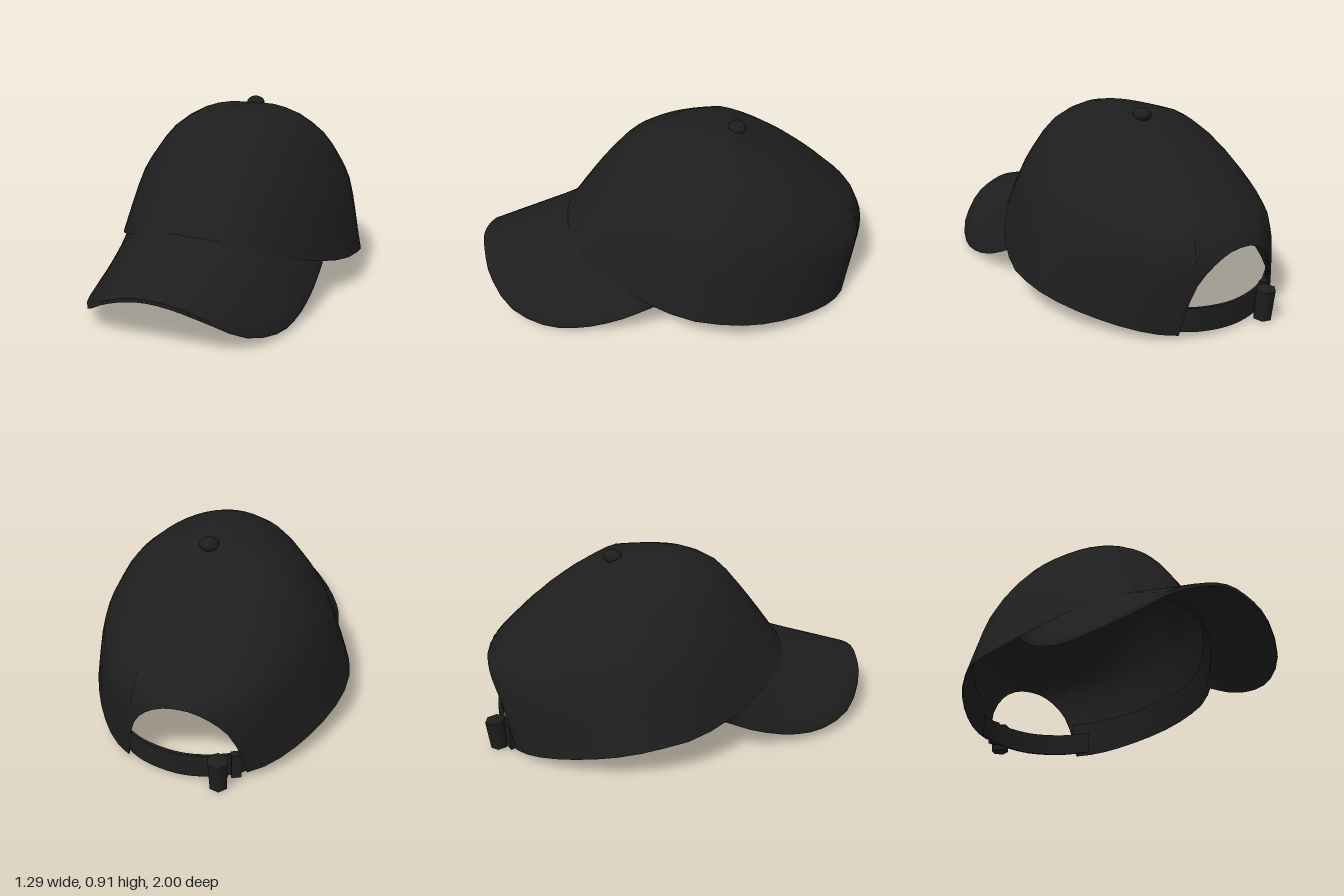
import * as THREE from 'three';
import { mergeVertices, toCreasedNormals } from 'three/addons/utils/BufferGeometryUtils.js';

const { lerp } = THREE.MathUtils;
const PI = Math.PI;

// Surface from a rule fn(i, j) -> [x, y, z]
function grid(nu, nv, fn, crease) {
  const pos = [], idx = [];
  for (let j = 0; j <= nv; j++) {
    for (let i = 0; i <= nu; i++) {
      pos.push(...fn(i, j));
      if (i < nu && j < nv) {
        const a = j * (nu + 1) + i, b = a + 1, c = a + nu + 1, d = c + 1;
        idx.push(a, b, d, a, d, c);
      }
    }
  }
  let geo = new THREE.BufferGeometry();
  geo.setAttribute('position', new THREE.Float32BufferAttribute(pos, 3));
  geo.setIndex(idx);
  geo = mergeVertices(geo);
  if (crease) return toCreasedNormals(geo, crease);
  geo.computeVertexNormals();
  return geo;
}

const curve = (pts) => new THREE.CatmullRomCurve3(pts.map((p) => new THREE.Vector3(...p)));

// Crown profiles from rim to apex
const front = curve([[0, 0.375, 0.56], [0, 0.475, 0.49], [0, 0.6, 0.4], [0, 0.71, 0.315],
  [0, 0.8, 0.235], [0, 0.875, 0.09], [0, 0.897, -0.06], [0, 0.88, -0.28]]);
const side = curve([[0.648, 0.163, -0.22], [0.6, 0.335, -0.22], [0.545, 0.515, -0.23], [0.48, 0.63, -0.24],
  [0.385, 0.76, -0.25], [0.255, 0.848, -0.26], [0.12, 0.882, -0.27], [0, 0.88, -0.28]]);
const back = curve([[0, 0.02, -0.91], [0, 0.25, -0.945], [0, 0.41, -0.955], [0, 0.55, -0.835],
  [0, 0.66, -0.7], [0, 0.745, -0.57], [0, 0.815, -0.43], [0, 0.88, -0.28]]);

// Point on the crown: angle from the front towards +x, t from rim to apex
function crownPoint(angle, t) {
  const s = side.getPoint(t), c = Math.cos(angle), sn = Math.sin(angle);
  const end = (c > 0 ? front : back).getPoint(t), k = Math.abs(c);
  const boxy = c > 0 ? lerp(1.9, 0.9, k) : lerp(1.7, 0.75, k);
  const power = lerp(boxy, 1, Math.min(1, t * 1.6));
  const x = Math.sign(sn) * s.x * Math.pow(Math.abs(sn), power);
  const y = lerp(s.y, end.y, c > 0 ? k * k : k) - 0.027 * x * (1 - t);
  return [x + 0.05 * Math.max(0, y - 0.1), y, lerp(s.z, end.z, k)];
}

export function createModel() {
  const group = new THREE.Group();
  const fabric = new THREE.MeshStandardMaterial({ color: 0x1e1e1e, side: THREE.DoubleSide });
  fabric.name = 'blackFabric';
  const add = (name, geo) => {
    const mesh = new THREE.Mesh(geo, fabric);
    mesh.name = name;
    group.add(mesh);
    return mesh;
  };

  // Crown with an arched opening at the back
  const half = 0.37, around = 36, arch = 16, rows = 14;
  const columns = [];
  for (let i = 0; i <= around; i++) columns.push([lerp(half - PI, PI - half, i / around), 0]);
  for (let k = 1; k <= arch; k++) {
    const a = PI * k / arch;
    columns.push([PI - half * Math.cos(a), 0.28 * Math.sin(a)]);
  }
  add('crown', grid(columns.length - 1, rows, (i, j) => {
    const [angle, start] = columns[i];
    return crownPoint(angle, lerp(start, 1, j / rows));
  }));

  // Sweatband inside the rim
  add('sweatband', grid(around, 2, (i, j) => {
    const [x, y, z] = crownPoint(columns[i][0], j * 0.06);
    const inset = j === 0 ? 0.995 : 0.975;
    return [x * inset, y, -0.2 + (z + 0.2) * inset];
  }));

  // Curved brim, tucked into the crown: top, outer edge and underside
  const halfEdge = [[0.525, 0.185, 0.12], [0.525, 0.115, 0.29], [0.51, 0.065, 0.48], [0.475, 0.052, 0.66],
    [0.38, 0.09, 0.84], [0.235, 0.18, 0.95], [0.115, 0.225, 0.985]];
  const edge = curve([...halfEdge, [0, 0.243, 1],
    ...halfEdge.slice().reverse().map(([x, y, z]) => [-x, y, z])]);
  const nu = 32, nv = 6;
  add('brim', grid(nu, nv * 2 + 1, (i, j) => {
    const u = i / nu, under = j > nv;
    const v = (under ? 2 * nv + 1 - j : j) / nv;
    const p = crownPoint(lerp(1.12, -1.12, u), 0.02), e = edge.getPoint(u);
    const thick = under ? 0.018 * Math.min(1, 8 * u * (1 - u)) : 0;
    return [lerp(p[0] * 0.975, e.x + 0.018, v), lerp(p[1], e.y - 0.025 * e.x, v) - thick,
      lerp(p[2] - 0.012, e.z, v)];
  }, 1));

  // Button on top
  const button = add('button', new THREE.SphereGeometry(1, 14, 8));
  button.scale.set(0.047, 0.034, 0.047);
  button.position.set(0.042, 0.878, -0.305);

  // Adjustment strap across the opening
  const strapPath = curve([[-0.33, 0.1, -0.81], [-0.2, 0.085, -0.885], [0, 0.075, -0.92],
    [0.2, 0.085, -0.885], [0.33, 0.1, -0.81]]);
  const section = [[0.058, -0.008], [-0.058, -0.008], [-0.058, 0.008], [0.058, 0.008], [0.058, -0.008]];
  add('strap', grid(20, 4, (i, j) => {
    const p = strapPath.getPoint(i / 20), [dy, dz] = section[j];
    return [p.x, p.y + dy, p.z + dz];
  }, 0.8));

  // Buckle and strap keeper
  const buckle = add('buckle', new THREE.CylinderGeometry(0.05, 0.045, 0.15, 6));
  buckle.position.set(-0.17, 0.078, -0.945);
  buckle.rotation.set(-0.08, 0.25, 0);
  const keeper = add('keeper', new THREE.BoxGeometry(0.045, 0.125, 0.035));
  keeper.position.set(-0.235, 0.088, -0.88);
  keeper.rotation.y = 0.4;

  return group;
}
